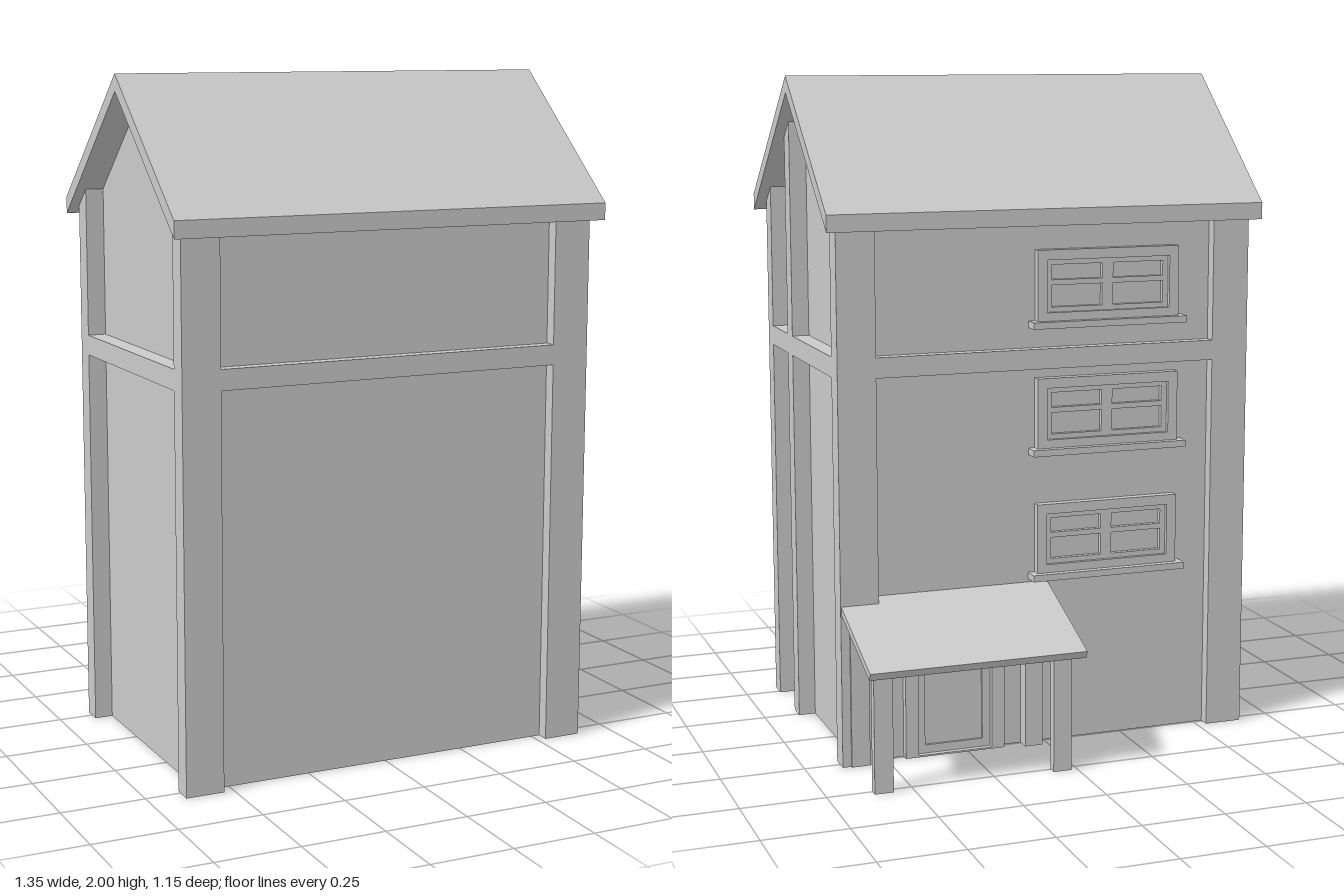
import * as THREE from 'three';

export function createModel() {
  const model = new THREE.Group();
  const mat = new THREE.MeshStandardMaterial({ color: 0xcccccc, flatShading: true });
  const RIDGE_Z = 0.135, SLOPE = 0.85, EAVE = 0.443;
  const under = z => 1.95 - Math.abs(z - RIDGE_Z) * SLOPE;

  const add = (geo, name, parent = model) => {
    const mesh = new THREE.Mesh(geo, mat);
    mesh.name = name;
    parent.add(mesh);
    return mesh;
  };
  // Box given by its two extreme corners
  const box = (name, x0, x1, y0, y1, z0, z1, parent) =>
    add(new THREE.BoxGeometry(x1 - x0, y1 - y0, z1 - z0)
      .translate((x0 + x1) / 2, (y0 + y1) / 2, (z0 + z1) / 2), name, parent);
  // Side profile of [z, y] points swept along x
  const sweep = (name, pts, x0, x1, parent) => {
    const shape = new THREE.Shape(pts.map(p => new THREE.Vector2(p[0], p[1])));
    const geo = new THREE.ExtrudeGeometry(shape, { depth: x1 - x0, bevelEnabled: false });
    return add(geo.rotateY(-Math.PI / 2).translate(x1, 0, 0), name, parent);
  };
  // Upright post whose top follows the roof slope
  const post = (name, x0, x1, z0, z1) =>
    sweep(name, [[z0, 0], [z1, 0], [z1, under(z1)], [z0, under(z0)]], x0, x1);
  // Flat plate facing z, with rectangular holes [x0, x1, y0, y1]
  const plate = (name, [x0, x1, y0, y1], holes, z0, z1, parent) => {
    const corners = (a, b, c, d) => [[a, c], [b, c], [b, d], [a, d]].map(p => new THREE.Vector2(...p));
    const shape = new THREE.Shape(corners(x0, x1, y0, y1));
    for (const h of holes) shape.holes.push(new THREE.Path(corners(...h)));
    const geo = new THREE.ExtrudeGeometry(shape, { depth: z1 - z0, bevelEnabled: false });
    return add(geo.translate(0, 0, z0), name, parent);
  };

  // Recessed walls with gables
  const BACK = -0.245, FRONT = 0.51, SIDE = 0.59;
  sweep('walls', [[BACK, 0], [FRONT, 0], [FRONT, under(FRONT)], [RIDGE_Z, 1.95], [BACK, under(BACK)]], -SIDE, SIDE);

  // Gabled roof slab
  const e0 = RIDGE_Z - EAVE, e1 = RIDGE_Z + EAVE;
  sweep('roof', [[e0, under(e0)], [RIDGE_Z, 1.95], [e1, under(e1)],
    [e1, under(e1) + 0.05], [RIDGE_Z, 2], [e0, under(e0) + 0.05]], -0.675, 0.675);

  // Corner posts, plus one extra post on the +x side
  for (const [x0, x1] of [[-0.645, -0.53], [0.527, 0.642]]) {
    post('frontCornerPost', x0, x1, 0.488, 0.547);
    post('backCornerPost', x0, x1, -0.28, -0.217);
  }
  post('sidePost', 0.57, 0.642, 0.238, 0.297);

  // Horizontal beams
  box('frontBeam', -0.53, 0.527, 1.15, 1.21, 0.49, 0.547);
  box('backBeam', -0.53, 0.527, 1.15, 1.21, -0.28, -0.22);
  box('rightBeamBack', 0.57, 0.642, 1.15, 1.21, -0.217, 0.238);
  box('rightBeamFront', 0.57, 0.642, 1.15, 1.21, 0.297, 0.488);
  box('leftBeam', -0.645, -0.57, 1.15, 1.21, -0.217, 0.488);

  // Three stacked back windows
  for (const y of [0.51, 0.89, 1.27]) {
    const win = new THREE.Group();
    win.name = 'window';
    model.add(win);
    const cx = -0.195, b = y + 0.02, t = y + 0.23;
    box('windowSill', cx - 0.245, cx + 0.245, y, b, -0.293, BACK, win);
    plate('windowFrame', [cx - 0.225, cx + 0.225, b, t],
      [[cx - 0.195, cx + 0.195, b + 0.025, t - 0.03]], -0.272, BACK, win);
    // Two sashes, each with two panes
    const lo = b + 0.025, hi = t - 0.03, mid = (lo + hi) / 2 + 0.01;
    for (const s of [-1, 1]) {
      const c = cx + s * 0.0975;
      plate('windowSash', [c - 0.0975, c + 0.0975, lo, hi], [
        [c - 0.08, c + 0.08, lo + 0.015, mid - 0.008],
        [c - 0.08, c + 0.08, mid + 0.008, hi - 0.015],
      ], -0.26, BACK, win);
    }
  }

  // Porch: sloping roof, free posts and wall pilasters
  const porch = new THREE.Group();
  porch.name = 'porch';
  model.add(porch);
  sweep('porchRoof', [[-0.575, 0.37], [-0.567, 0.349], [-0.245, 0.476], [-0.245, 0.5]], -0.01, 0.64, porch);
  for (const x of [0.018, 0.56]) {
    sweep('porchPost', [[-0.525, 0], [-0.498, 0], [-0.498, 0.38], [-0.525, 0.37]], x, x + 0.056, porch);
    sweep('porchPilaster', [[-0.287, 0], [BACK, 0], [BACK, 0.478], [-0.287, 0.463]], x, x + 0.056, porch);
  }

  // Door under the porch
  plate('doorFrame', [0.135, 0.445, 0, 0.35], [[0.175, 0.405, 0.005, 0.31]], -0.27, BACK);
  plate('door', [0.175, 0.405, 0.005, 0.31], [[0.2, 0.38, 0.03, 0.285]], -0.253, BACK);

  return model;
}
